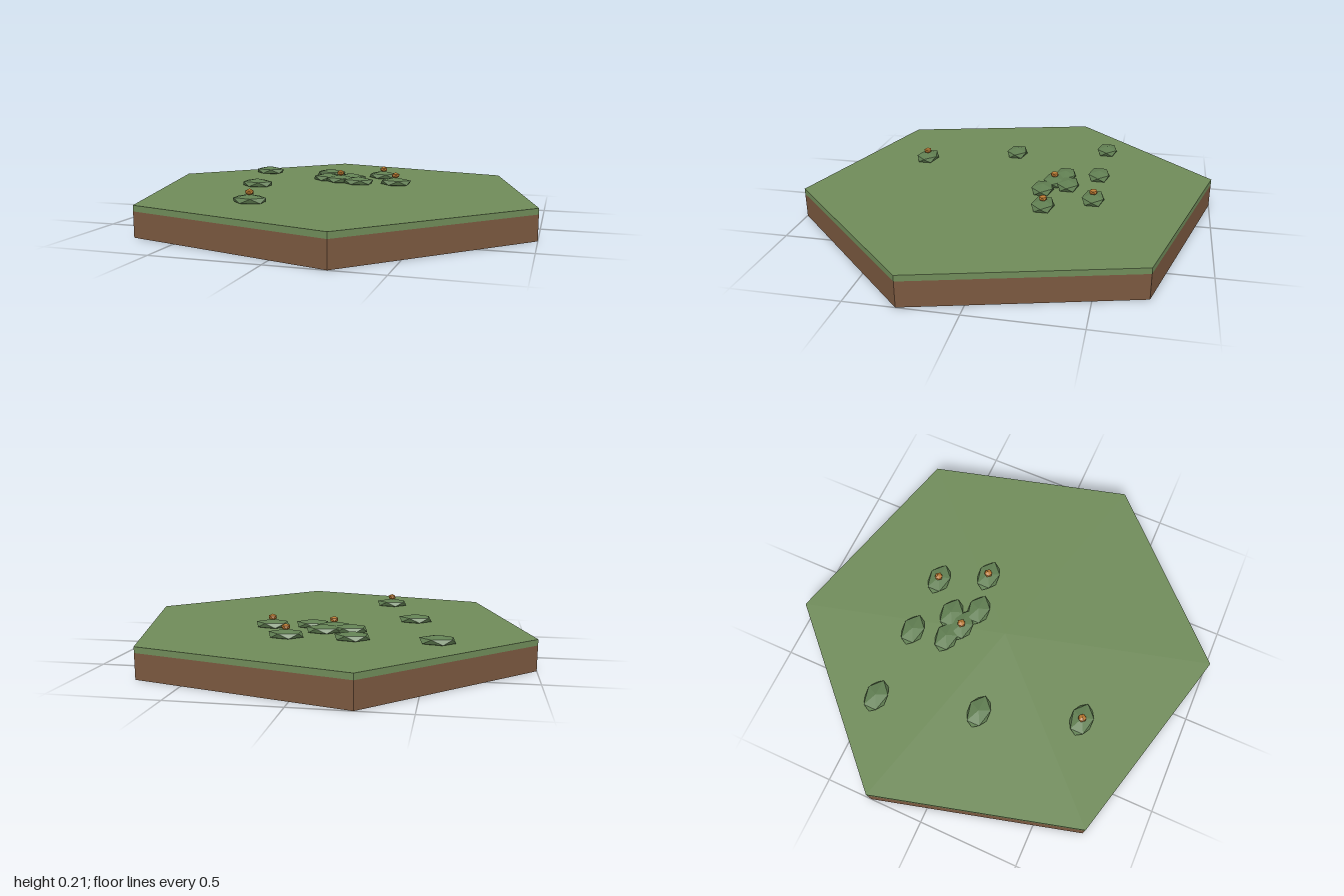
import * as THREE from 'three';

const mat = (name, color) => {
  const m = new THREE.MeshStandardMaterial({ color, flatShading: true });
  m.name = name;
  return m;
};

export function createModel() {
  const group = new THREE.Group();
  const soil = mat('soil brown', 0x7a583f);
  const grass = mat('grass green', 0x6f8b59);
  const leaf = mat('leaf green', 0x617f52);
  const fruit = mat('fruit orange', 0xb87830);

  const add = (name, geometry, material, x, y, z) => {
    const mesh = new THREE.Mesh(geometry, material);
    mesh.name = name;
    mesh.position.set(x, y, z);
    group.add(mesh);
    return mesh;
  };

  // Hexagonal tile: soil slab with a thin grass layer
  const hexSlab = (height) =>
    new THREE.CylinderGeometry(1.035, 1.035, height, 6, 1, false, Math.PI / 12);
  add('soilBase', hexSlab(0.12), soil, 0, 0.06, 0);
  add('grassLayer', hexSlab(0.028), grass, 0, 0.134, 0);

  // Twenty-sided ball standing on one point, with an upper tip towards +x
  const ball = new THREE.IcosahedronGeometry(1, 0);
  ball.rotateZ(-Math.atan(2 / (1 + Math.sqrt(5))));

  // Low bushes: x, z, and whether a fruit sits on top
  const bushes = [
    [-0.556, -0.44, false], [-0.175, -0.43, false], [0.13, -0.43, true],
    [0.25, -0.205, true], [-0.14, -0.26, false], [-0.017, -0.29, false],
    [-0.055, -0.215, true], [0.055, -0.172, false], [-0.425, 0.05, false],
    [-0.26, 0.52, true],
  ];
  bushes.forEach(([x, z, hasFruit]) => {
    add('bush', ball, leaf, x, 0.163, z).scale.set(0.091, 0.025, 0.062);
    if (hasFruit) add('fruit', ball, fruit, x, 0.198, z).scale.set(0.022, 0.016, 0.022);
  });

  return group;
}
